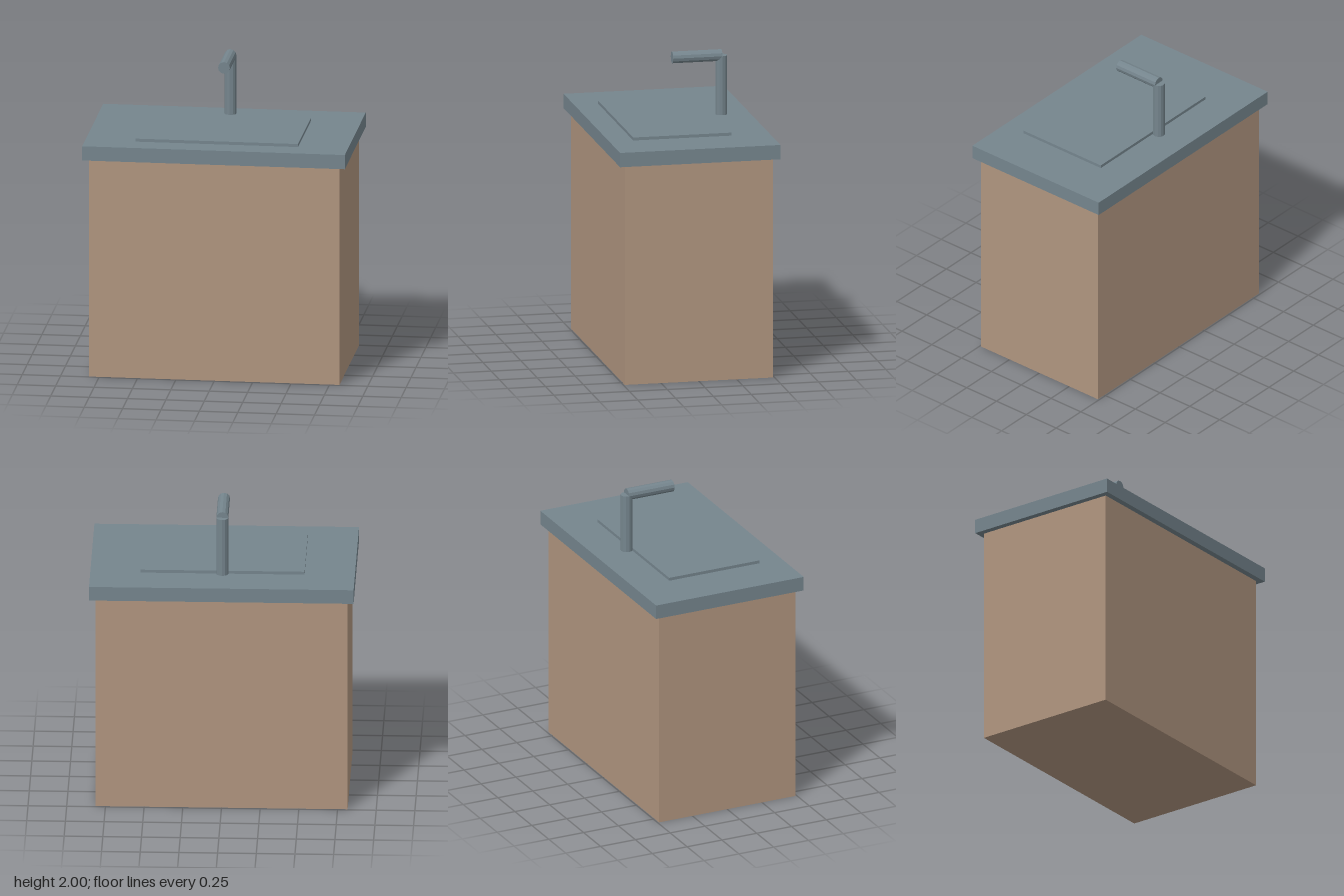
import * as THREE from 'three';

export function createModel() {
  const wood = new THREE.MeshStandardMaterial({ color: 0xb0957f, flatShading: true });
  wood.name = 'wood';
  const slate = new THREE.MeshStandardMaterial({ color: 0x75858d, flatShading: true });
  slate.name = 'slate grey';

  const model = new THREE.Group();
  model.name = 'washstand';

  const add = (parent, name, geometry, material, x, y, z) => {
    const mesh = new THREE.Mesh(geometry, material);
    mesh.name = name;
    mesh.position.set(x, y, z);
    parent.add(mesh);
    return mesh;
  };
  // Box standing on height y0
  const slab = (name, w, y0, y1, d, material, z = 0) =>
    add(model, name, new THREE.BoxGeometry(w, y1 - y0, d), material, 0, (y0 + y1) / 2, z);

  // Cabinet, overhanging counter and raised basin panel
  slab('cabinet', 1.63, 0, 1.455, 0.98, wood);
  slab('countertop', 1.71, 1.455, 1.55, 1.06, slate);
  slab('basin', 1.06, 1.55, 1.57, 0.65, slate, 0.047);

  // Tap: upright pipe with a spout reaching forward
  const tap = new THREE.Group();
  tap.name = 'tap';
  model.add(tap);
  const radius = 0.039, tapZ = -0.326, spoutY = 1.961, base = 1.57;
  const pipe = (length) => new THREE.CylinderGeometry(radius, radius, length, 12);
  add(tap, 'tapRiser', pipe(spoutY - base), slate, 0, (spoutY + base) / 2, tapZ);
  const spout = add(tap, 'tapSpout', pipe(-tapZ), slate, 0, spoutY, tapZ / 2);
  spout.rotation.x = Math.PI / 2;

  return model;
}
